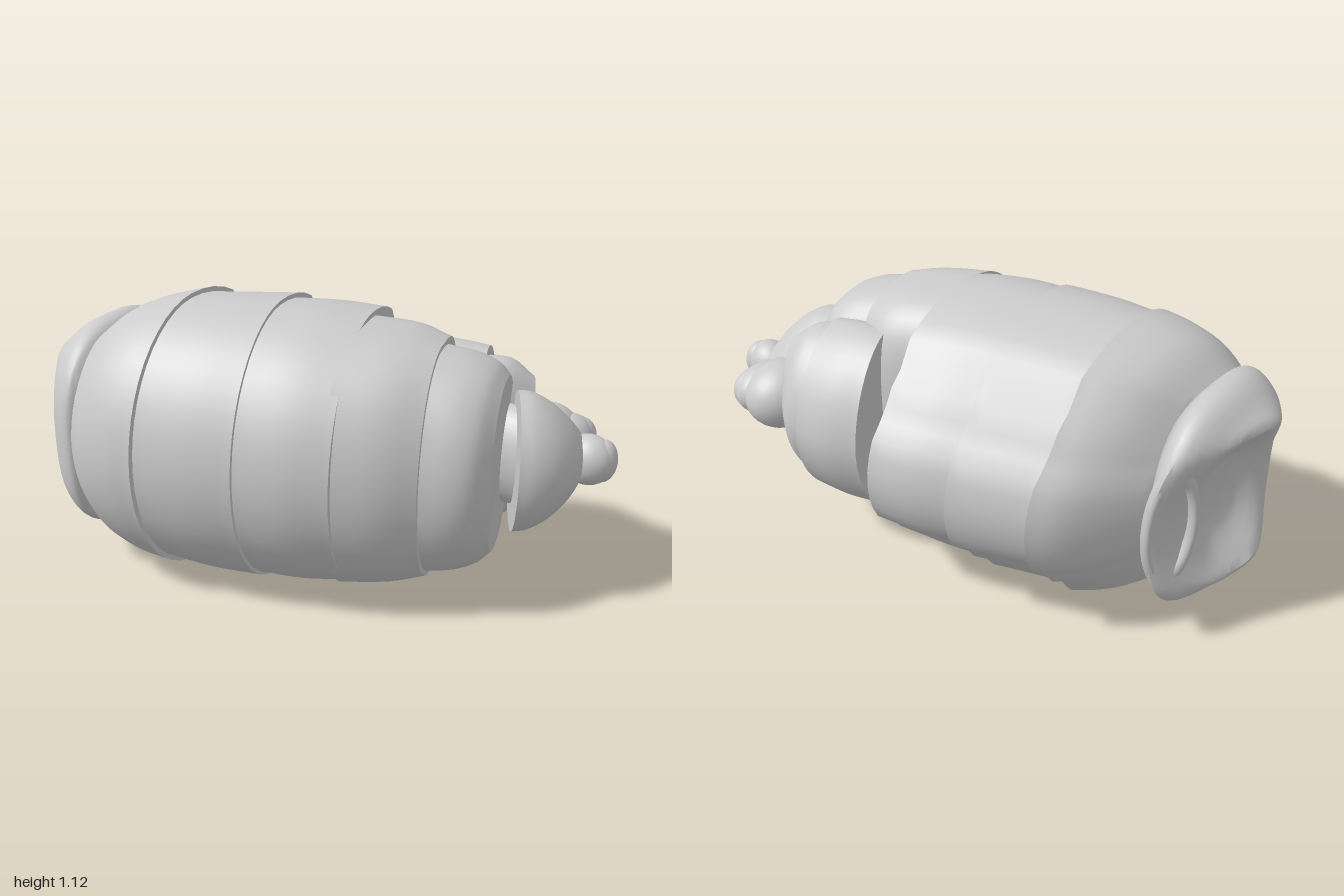
import * as THREE from 'three';
import { toCreasedNormals } from 'three/addons/utils/BufferGeometryUtils.js';

const MID = 0.565; // height of the body axis
const material = new THREE.MeshStandardMaterial({ color: 0xcccccc });

// Closed loft through slanted rings. Row: back x, back z, belly x, belly z, half height.
// widest: where a ring is tallest, from back (0) to belly (1).
function loft(rows, { sides = 48, steps = 4, power = 1, bellyPower = power, widest = 0.5, pads = false, bend = 0 } = {}) {
  const back = new THREE.CatmullRomCurve3(rows.map(r => new THREE.Vector3(r[0], r[4], r[1])));
  const belly = new THREE.CatmullRomCurve3(rows.map(r => new THREE.Vector3(r[2], 0, r[3])));
  const n = (rows.length - 1) * steps;
  const pos = [], index = [];
  const shape = (v, p) => Math.sign(v) * Math.abs(v) ** p;
  for (let i = 0; i <= n; i++) {
    const d = back.getPoint(i / n), v = belly.getPoint(i / n);
    const cx = THREE.MathUtils.lerp(d.x, v.x, widest), cz = THREE.MathUtils.lerp(d.z, v.z, widest);
    for (let j = 0; j < sides; j++) {
      const a = j / sides * Math.PI * 2;
      const fromBack = Math.min(a, Math.PI * 2 - a);
      const p = fromBack > Math.PI / 2 ? bellyPower : power;
      let c = shape(Math.cos(a), p), s = shape(Math.sin(a), p);
      if (pads) {
        // the belly is set in below the flank seam, with a groove beside the pads
        s *= 1 - 0.14 * THREE.MathUtils.smoothstep(fromBack, 2.08, 2.25);
        const groove = 1 - 0.05 * Math.exp(-(((fromBack - 2.55) / 0.1) ** 2));
        c *= groove;
        s *= groove;
      }
      const reach = c > 0 ? d : v, side = Math.abs(c);
      let x = cx + (reach.x - cx) * side;
      const y = d.y * s;
      // hollow the tail end between its two horns
      x += bend * Math.max(-0.5, 1 - y * y / 0.06) * THREE.MathUtils.clamp((-0.85 - x) / 0.12, 0, 1);
      pos.push(x, MID + y, cz + (reach.z - cz) * side);
    }
  }
  for (let i = 0; i < n; i++) for (let j = 0; j < sides; j++) {
    const k = (j + 1) % sides, a = i * sides + j, b = a + sides;
    const c = i * sides + k, e = c + sides;
    index.push(a, b, c, b, e, c);
  }
  // end caps
  for (const [row, flip] of [[0, false], [n, true]]) {
    const centre = pos.length / 3, p = [0, 0, 0];
    for (let j = 0; j < sides; j++) for (let q = 0; q < 3; q++) p[q] += pos[(row * sides + j) * 3 + q] / sides;
    pos.push(...p);
    for (let j = 0; j < sides; j++) {
      const a = row * sides + j, b = row * sides + (j + 1) % sides;
      index.push(centre, flip ? b : a, flip ? a : b);
    }
  }
  const g = new THREE.BufferGeometry();
  g.setAttribute('position', new THREE.Float32BufferAttribute(pos, 3));
  g.setIndex(index);
  return toCreasedNormals(g, 0.7);
}

export function createModel() {
  const model = new THREE.Group();
  const add = (name, geometry) => {
    const m = new THREE.Mesh(geometry, material);
    m.name = name;
    model.add(m);
    return m;
  };
  const blob = (name, x, z, rx, ry, rz, turn = 0) => {
    const m = add(name, new THREE.SphereGeometry(1, 28, 18));
    m.position.set(x, MID, z);
    m.scale.set(rx, ry, rz);
    m.rotation.y = turn;
  };

  // Overlapping abdomen segments, each flaring to a lip at its front edge
  const abdomen = [
    [[-0.74, 0.64, -0.83, -0.02, 0.40], [-0.64, 0.685, -0.74, -0.23, 0.49], [-0.5, 0.697, -0.68, -0.34, 0.535], [-0.39, 0.68, -0.61, -0.42, 0.558]],
    [[-0.41, 0.66, -0.6, -0.385, 0.54], [-0.2, 0.615, -0.47, -0.46, 0.553], [-0.02, 0.55, -0.33, -0.54, 0.56]],
    [[-0.04, 0.54, -0.32, -0.5, 0.545], [0.15, 0.48, -0.18, -0.585, 0.545], [0.3, 0.4, -0.03, -0.645, 0.53]],
  ];
  abdomen.forEach((rows, i) => add('abdomenSegment' + (i + 1), loft(rows, { pads: true, widest: 0.44 })));

  // Back shells in front of the belly gap
  const shells = [
    [[0.26, 0.395, 0.08, -0.31, 0.515], [0.43, 0.3, 0.23, -0.38, 0.495], [0.54, 0.2, 0.35, -0.38, 0.46]],
    [[0.52, 0.185, 0.35, -0.36, 0.445], [0.63, 0.14, 0.46, -0.42, 0.42], [0.69, 0.09, 0.54, -0.435, 0.385], [0.725, 0.01, 0.58, -0.42, 0.34]],
  ];
  shells.forEach((rows, i) => add('backShell' + (i + 1), loft(rows, { bellyPower: i ? 0.7 : 0.55 })));

  // Chest pieces on the belly side, tucked under the shells
  const chest = [
    [[0.32, -0.18, 0.13, -0.58, 0.385], [0.43, -0.2, 0.24, -0.645, 0.385], [0.53, -0.24, 0.365, -0.685, 0.37]],
    [[0.52, -0.22, 0.36, -0.64, 0.34], [0.6, -0.3, 0.46, -0.665, 0.33], [0.68, -0.41, 0.54, -0.63, 0.26]],
  ];
  chest.forEach((rows, i) => add('chestPiece' + (i + 1), loft(rows, { bellyPower: 1.1, widest: 0.36 })));

  // Tail block with a hollow end between two horns
  add('tail', loft([
    [-0.92, 0.36, -0.91, 0.2, 0.14], [-0.985, 0.47, -0.955, 0.11, 0.305], [-0.91, 0.575, -0.95, 0.0, 0.365],
    [-0.83, 0.63, -0.905, -0.1, 0.425], [-0.75, 0.65, -0.86, -0.08, 0.42], [-0.72, 0.62, -0.8, 0.0, 0.38],
  ], { power: 0.75, bend: 0.06 }));

  // Raised rim around the underside of the tail
  const rim = add('tailRim', new THREE.TorusGeometry(1, 0.2, 12, 40));
  rim.position.set(-0.9, MID, -0.01);
  rim.scale.set(0.09, 0.23, 0.12);
  rim.rotation.y = 1.2;

  // Domed head, cut flat at the neck
  add('head', loft([
    [0.78, -0.11, 0.57, -0.43, 0.28], [0.835, -0.145, 0.59, -0.47, 0.272], [0.885, -0.21, 0.63, -0.51, 0.235],
    [0.91, -0.31, 0.69, -0.54, 0.17], [0.9, -0.41, 0.76, -0.55, 0.1],
  ]));
  add('neck', loft([[0.6, -0.2, 0.5, -0.45, 0.2], [0.72, -0.22, 0.6, -0.43, 0.2]], { steps: 1 }));

  // Snout and the broad mouth lobe
  blob('snout', 0.89, -0.455, 0.1, 0.1, 0.085, 0.15);
  blob('snoutTip', 0.94, -0.475, 0.055, 0.085, 0.063);
  blob('mouthLobe', 0.75, -0.56, 0.1, 0.105, 0.14);
  blob('mouthCorner', 0.78, -0.61, 0.065, 0.085, 0.085);
  blob('chin', 0.67, -0.53, 0.14, 0.14, 0.17);

  return model;
}
